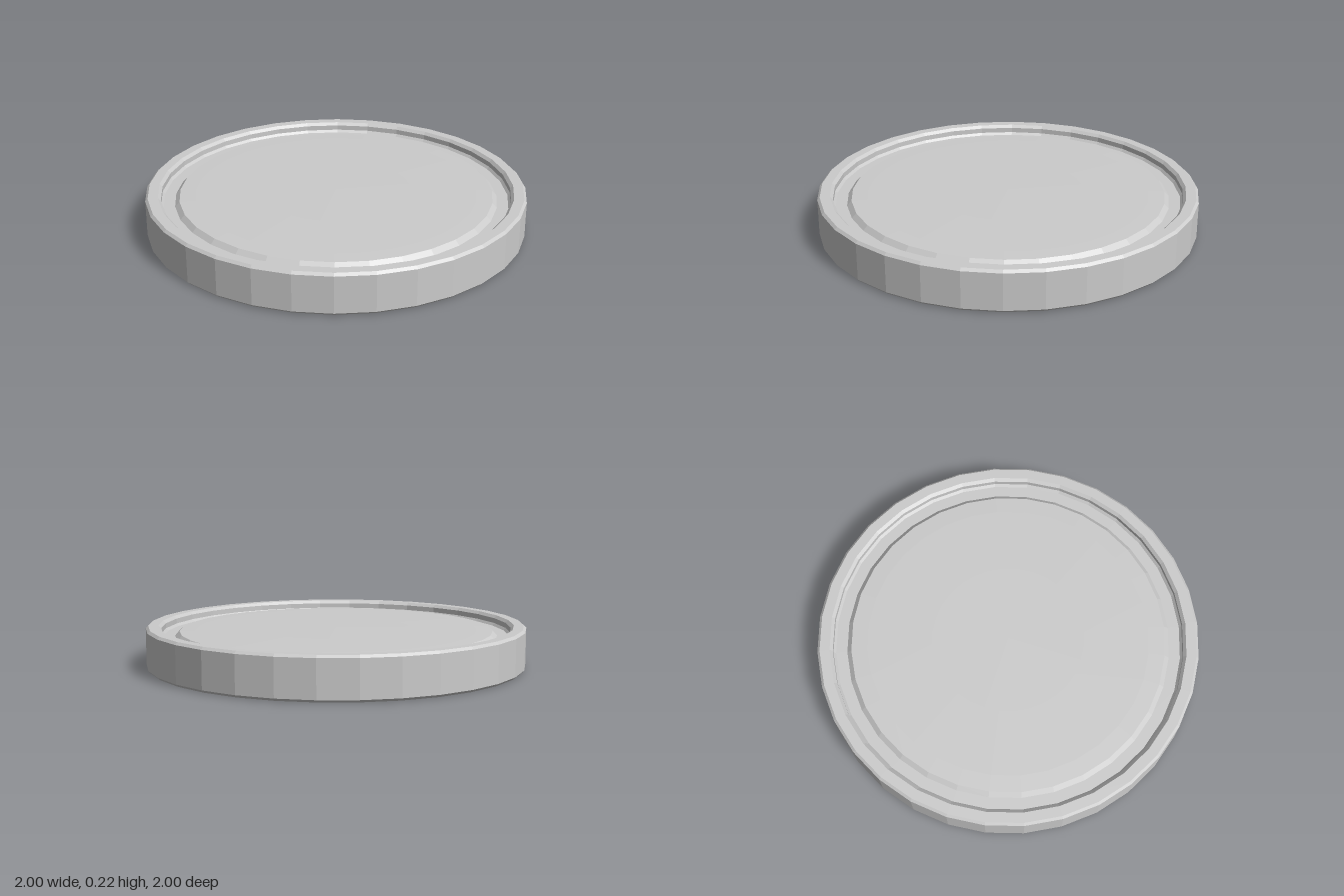
import * as THREE from 'three';

const SEGMENTS = 32;
const HEIGHT = 0.218;

// Revolves a lower half-profile (centre outwards) together with its mirrored upper half
function turned(name, lower, material) {
  const upper = lower.map(([r, y]) => [r, HEIGHT - y]).reverse();
  const points = [...lower, ...upper].map(([r, y]) => new THREE.Vector2(r, y));
  const mesh = new THREE.Mesh(new THREE.LatheGeometry(points, SEGMENTS), material);
  mesh.name = name;
  return mesh;
}

export function createModel() {
  const model = new THREE.Group();
  model.name = 'roundDisc';
  const material = new THREE.MeshStandardMaterial({ color: 0xcccccc, flatShading: true });

  // Outer ring: recessed ledge, upright inner wall chamfered at both ends, flat rim, chamfered outer wall
  model.add(turned('rimRing', [
    [0.84, 0.055], [0.908, 0.055], [0.92, 0.042], [0.92, 0.015], [0.935, 0],
    [0.987, 0], [1, 0.013],
  ], material));

  // Inner disc: slightly domed faces with a bevel down to the ledge
  model.add(turned('centreDisc', [
    [0, 0.024], [0.4, 0.025], [0.74, 0.028], [0.825, 0.031], [0.85, 0.056],
  ], material));

  return model;
}
